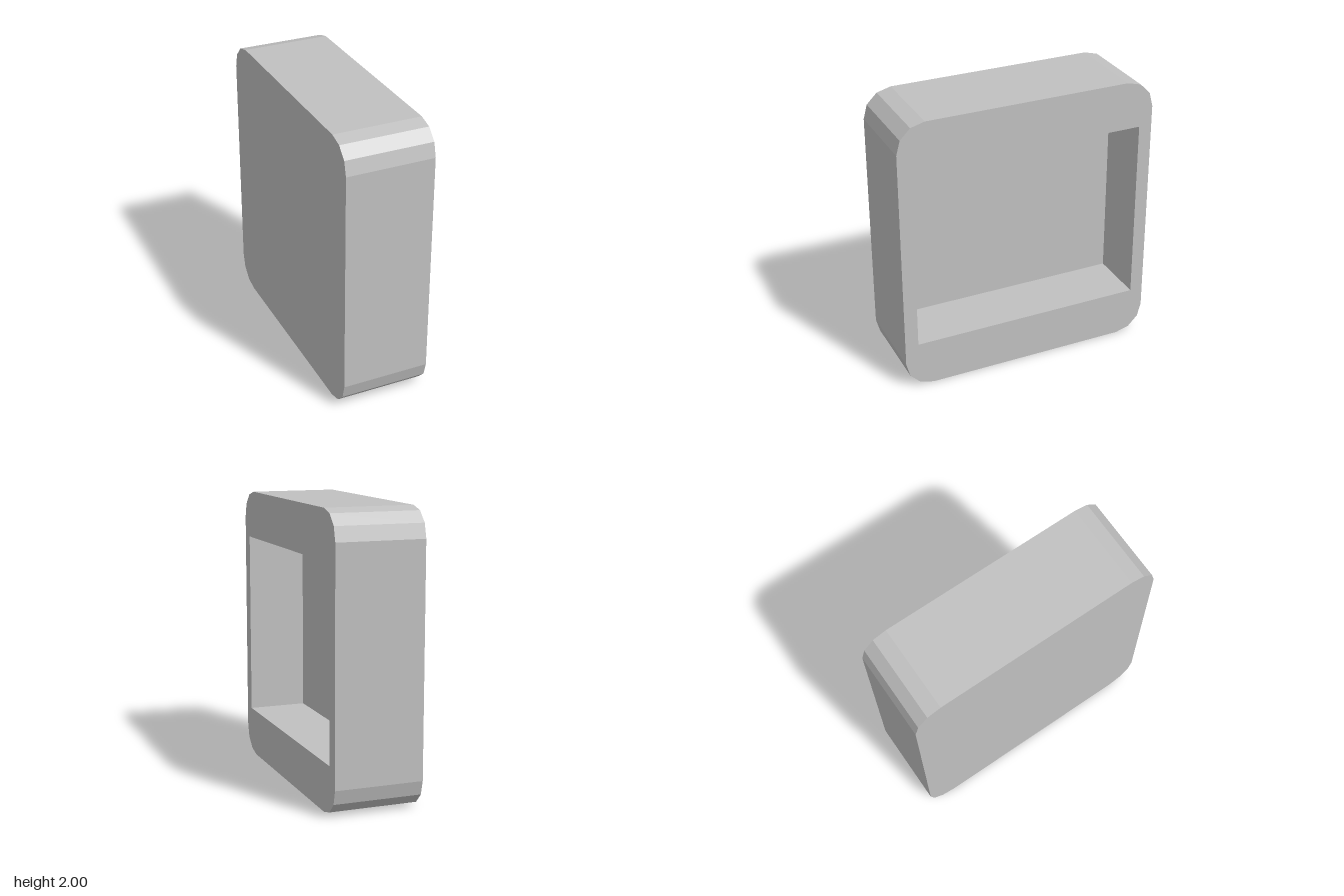
import * as THREE from 'three';

const HALF_W = 0.93, HALF_H = 1, HALF_D = 0.31, RADIUS = 0.2;
const POCKET_W = 0.835, POCKET_H = 0.66, FLOOR = -0.11;

// Counter-clockwise rounded rectangle, three facets per corner
function roundedOutline() {
  const points = [];
  const corners = [[1, 1], [-1, 1], [-1, -1], [1, -1]];
  corners.forEach(([sx, sy], c) => {
    for (let i = 0; i <= 3; i++) {
      const a = (c + i / 3) * Math.PI / 2;
      points.push(new THREE.Vector2(
        sx * (HALF_W - RADIUS) + RADIUS * Math.cos(a),
        sy * (HALF_H - RADIUS) + RADIUS * Math.sin(a)));
    }
  });
  return points;
}

// Flat-faced band along a closed outline, facing out when counter-clockwise
function wall(points, z0, z1) {
  const v = [];
  points.forEach((a, i) => {
    const b = points[(i + 1) % points.length];
    v.push(a.x, a.y, z0, b.x, b.y, z0, b.x, b.y, z1);
    v.push(a.x, a.y, z0, b.x, b.y, z1, a.x, a.y, z1);
  });
  const g = new THREE.BufferGeometry();
  g.setAttribute('position', new THREE.Float32BufferAttribute(v, 3));
  g.computeVertexNormals();
  return g;
}

export function createModel() {
  const grey = new THREE.MeshStandardMaterial({ color: 0xc0c0c0 });
  grey.name = 'light grey';

  const outline = roundedOutline();
  const pocket = [[1, 1], [-1, 1], [-1, -1], [1, -1]]
    .map(([x, y]) => new THREE.Vector2(x * POCKET_W, y * POCKET_H));

  const model = new THREE.Group();
  model.name = 'recessedCase';
  const add = (name, geometry) => {
    const mesh = new THREE.Mesh(geometry, grey);
    mesh.name = name;
    model.add(mesh);
  };

  // Rim around the pocket opening
  const rim = new THREE.Shape(outline);
  rim.holes.push(new THREE.Path(pocket));
  add('rim', new THREE.ShapeGeometry(rim).translate(0, 0, HALF_D));

  // Outer shell: side band and closed back
  add('outerWall', wall(outline, -HALF_D, HALF_D));
  add('backPanel', new THREE.ShapeGeometry(new THREE.Shape(outline))
    .rotateY(Math.PI).translate(0, 0, -HALF_D));

  // Rectangular pocket: inward walls and floor
  add('pocketWalls', wall([...pocket].reverse(), FLOOR, HALF_D));
  add('pocketFloor', new THREE.PlaneGeometry(2 * POCKET_W, 2 * POCKET_H)
    .translate(0, 0, FLOOR));

  // Turn the opening to +x and stand the case on the ground
  model.rotation.y = Math.PI / 2;
  model.position.y = HALF_H;
  const root = new THREE.Group();
  root.name = 'model';
  root.add(model);
  return root;
}
